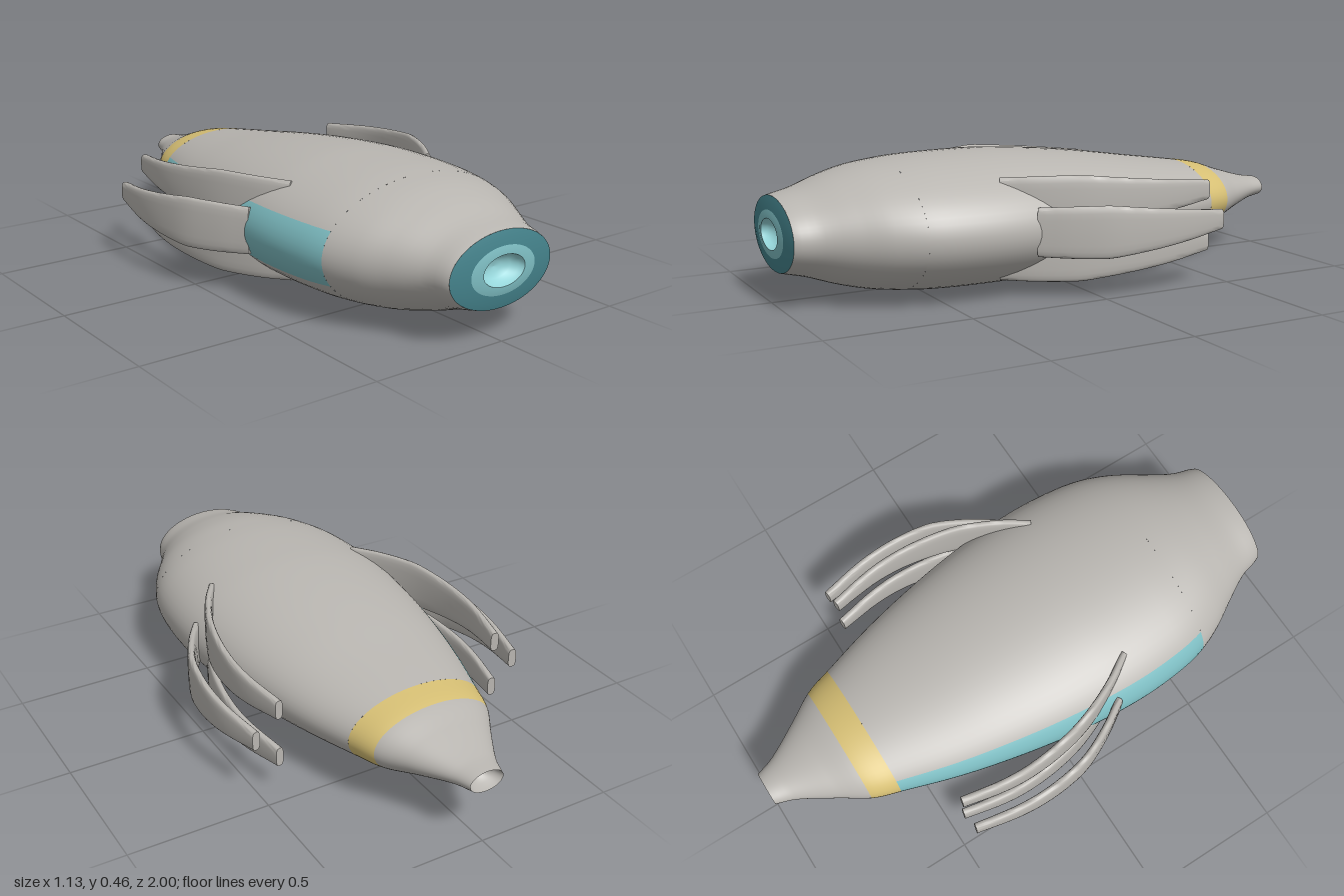
import * as THREE from 'three';
import { mergeGeometries, mergeVertices, toCreasedNormals } from 'three/addons/utils/BufferGeometryUtils.js';

const CY = 0.234; // height of the long axis

function material(name, color) {
  const m = new THREE.MeshStandardMaterial({ color });
  m.name = name;
  return m;
}

// Hull stations from tail to nose: z, half width, half height
const STATIONS = [
  [-1, 0.063, 0.037], [-0.93, 0.088, 0.048], [-0.8, 0.165, 0.085], [-0.7, 0.228, 0.118],
  [-0.6, 0.262, 0.135], [-0.4, 0.325, 0.164], [-0.2, 0.373, 0.194], [0, 0.409, 0.217],
  [0.2, 0.43, 0.231], [0.35, 0.434, 0.232], [0.5, 0.422, 0.228], [0.6, 0.4, 0.22],
  [0.7, 0.357, 0.207], [0.8, 0.297, 0.182], [0.9, 0.242, 0.148], [0.97, 0.222, 0.131], [0.985, 0.215, 0.127],
];

// Smooth (Hermite) interpolation of station column k at z
function hull(z, k) {
  const S = STATIONS, last = S.length - 1;
  let i = 0;
  while (i < last - 1 && z > S[i + 1][0]) i++;
  const slope = (j) => {
    const a = S[Math.max(j - 1, 0)], b = S[Math.min(j + 1, last)];
    return (b[k] - a[k]) / (b[0] - a[0]);
  };
  const d = S[i + 1][0] - S[i][0], t = (z - S[i][0]) / d, t2 = t * t, t3 = t2 * t;
  return (2 * t3 - 3 * t2 + 1) * S[i][k] + (t3 - 2 * t2 + t) * d * slope(i)
    + (3 * t2 - 2 * t3) * S[i + 1][k] + (t3 - t2) * d * slope(i + 1);
}

// Grid of points fn(u, v); columns follow u, rows follow v
function grid(cols, rows, fn) {
  const pos = [], index = [];
  for (let r = 0; r <= rows; r++) {
    for (let c = 0; c <= cols; c++) pos.push(...fn(c / cols, r / rows));
  }
  for (let r = 0; r < rows; r++) {
    for (let c = 0; c < cols; c++) {
      const a = r * (cols + 1) + c, b = a + cols + 1;
      index.push(a, a + 1, b + 1, a, b + 1, b);
    }
  }
  const g = new THREE.BufferGeometry();
  g.setAttribute('position', new THREE.Float32BufferAttribute(pos, 3));
  g.setIndex(index);
  return g;
}

// Patch of the hull between two z values and two angles, with exact normals
function hullPatch(z0, z1, a0 = 0, a1 = Math.PI * 2) {
  const cols = Math.ceil((a1 - a0) * 10), rows = Math.ceil((z1 - z0) * 40);
  const normals = [], e = 0.002;
  const g = grid(cols, rows, (u, v) => {
    const a = a0 + (a1 - a0) * u, z = z0 + (z1 - z0) * v;
    const rx = hull(z, 1), ry = hull(z, 2), cos = Math.cos(a), sin = Math.sin(a);
    const zl = Math.max(z - e, -1), zh = Math.min(z + e, 0.985);
    const dx = (hull(zh, 1) - hull(zl, 1)) / (zh - zl), dy = (hull(zh, 2) - hull(zl, 2)) / (zh - zl);
    const n = new THREE.Vector3(-rx * sin, ry * cos, 0)
      .cross(new THREE.Vector3(dx * cos, dy * sin, 1)).normalize();
    normals.push(n.x, n.y, n.z);
    return [rx * cos, CY + ry * sin, z];
  });
  g.setAttribute('normal', new THREE.Float32BufferAttribute(normals, 3));
  return g;
}

// Elliptical ring turned around the long axis; profile of [radius, z]
function turned(profile) {
  const g = new THREE.LatheGeometry(profile.map(([r, z]) => new THREE.Vector2(r, z)), 64);
  return g.rotateX(Math.PI / 2).scale(1, 0.59, 1).translate(0, CY, 0);
}

// Curved, tapering fin plate swept along a path of [x, z]
function finGeometry(path, side, y) {
  const curve = new THREE.CatmullRomCurve3(path.map(([x, z]) => new THREE.Vector3(x * side, y, z)));
  const rows = 26;
  const soft = (s) => Math.sign(s) * Math.pow(Math.abs(s), 0.6);
  const g = grid(20, rows, (u, v) => {
    // the first and last rows close the ends
    const r = Math.round(v * rows), end = r === 0 || r === rows ? 0 : 1;
    const t = THREE.MathUtils.clamp((r - 1) / (rows - 2), 0, 1);
    const c = curve.getPointAt(t), d = curve.getTangentAt(t), a = u * Math.PI * 2;
    const w = end * (t < 0.35 ? 0.083 + 0.007 * Math.sin(t / 0.35 * Math.PI / 2) : 0.09 - 0.055 * (t - 0.35) / 0.65);
    const h = end * 0.015 * soft(Math.cos(a));
    return [c.x + d.z * h, c.y + w * soft(Math.sin(a)), c.z - d.x * h];
  });
  return toCreasedNormals(mergeVertices(g, 1e-5), 0.9);
}

export function createModel() {
  const grey = material('hull grey', 0xb9b6b1);
  const yellow = material('band yellow', 0xd6bf74);
  const teal = material('stripe teal', 0x7dbcc1);
  const darkTeal = material('intake dark teal', 0x44828b);
  const paleTeal = material('intake pale teal', 0x96d6da);

  const model = new THREE.Group();
  const add = (name, geometry, mat) => {
    const mesh = new THREE.Mesh(geometry, mat);
    mesh.name = name;
    model.add(mesh);
  };

  // Hull, with the band and the side stripe cut in as separate patches
  const half = 0.43;
  add('hull', mergeGeometries([
    hullPatch(-1, -0.705),
    hullPatch(-0.605, 0.6, -Math.PI + half, Math.PI - half),
    hullPatch(0.6, 0.985),
  ]), grey);
  add('tailBand', hullPatch(-0.705, -0.605), yellow);
  add('rightStripe', hullPatch(-0.605, 0.6, Math.PI - half, Math.PI + half), teal);

  // Nose rings and recessed centre
  add('noseOuterRing', turned([[0.215, 0.985], [0.18, 0.991], [0.135, 0.995]]), darkTeal);
  add('noseInnerRing', turned([[0.135, 0.995], [0.11, 0.999], [0.088, 1]]), teal);
  add('noseRecess', turned([[0.088, 1], [0.08, 0.98], [0.06, 0.963], [0.03, 0.953], [0, 0.95]]), paleTeal);

  // Hollow tail nozzle
  add('tailNozzle', turned([[0, -0.94], [0.03, -0.95], [0.05, -0.97], [0.063, -1]]), grey);

  // Three swept-back fins on each side
  const outer = [[0.41, 0.215], [0.47, 0.12], [0.525, 0], [0.545, -0.1], [0.551, -0.2], [0.544, -0.3], [0.515, -0.455]];
  const inner = [[0.3, 0.3], [0.362, 0.2], [0.426, 0.05], [0.455, -0.08], [0.465, -0.2], [0.459, -0.3], [0.43, -0.455]];
  for (const [label, side] of [['left', 1], ['right', -1]]) {
    add(label + 'MiddleFin', finGeometry(outer, side, CY + 0.002), grey);
    add(label + 'UpperFin', finGeometry(inner, side, CY + 0.094), grey);
    add(label + 'LowerFin', finGeometry(inner, side, CY - 0.09), grey);
  }
  return model;
}
